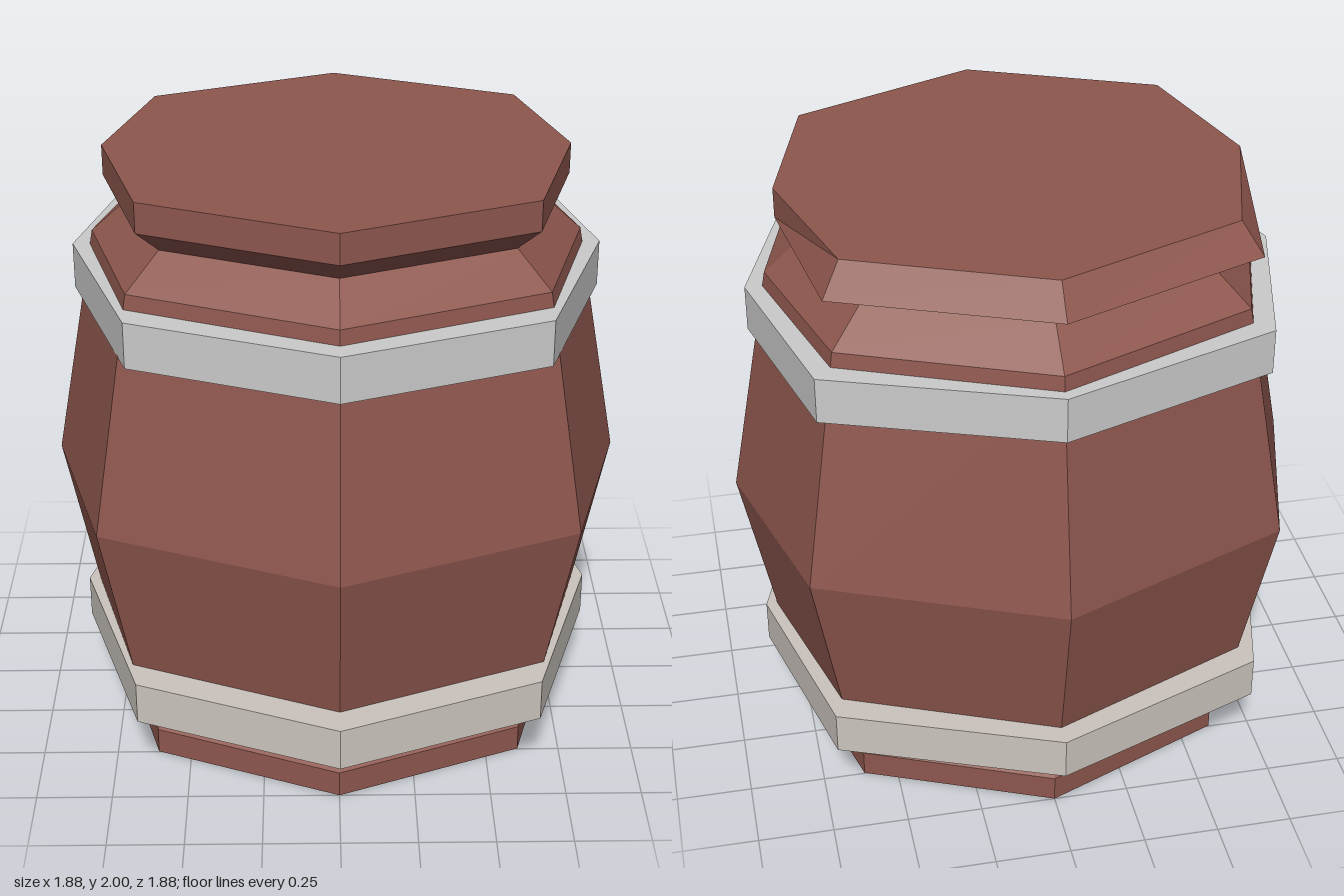
import * as THREE from 'three';

// Eight-cornered ring: x reach at the sides, [x, z] of front corners, front z, then the same for the back.
function ring(y, side, frontCorner, front, backCorner, back) {
  const [fx, fz] = frontCorner, [bx, bz] = backCorner;
  return [[0, front], [fx, fz], [side, 0], [bx, -bz], [0, -back], [-bx, -bz], [-side, 0], [-fx, fz]]
    .map(([x, z]) => new THREE.Vector3(x, y, z));
}

// Ring that is the same at the front and the back
function evenRing(y, r) {
  const corner = [r * 0.815, r * 0.663];
  return ring(y, r, corner, r, corner, r);
}

// Skin a list of rings, skipping triangles that collapse at a zero-radius ring
function skin(name, rings, color) {
  const pos = [];
  const tri = (a, b, c) => {
    if (a.equals(b) || b.equals(c) || a.equals(c)) return;
    pos.push(...a.toArray(), ...b.toArray(), ...c.toArray());
  };
  for (let k = 0; k < rings.length - 1; k++) {
    const lo = rings[k], hi = rings[k + 1];
    for (let i = 0; i < 8; i++) {
      const j = (i + 1) % 8;
      tri(lo[i], lo[j], hi[j]);
      tri(lo[i], hi[j], hi[i]);
    }
  }
  const geometry = new THREE.BufferGeometry();
  geometry.setAttribute('position', new THREE.Float32BufferAttribute(pos, 3));
  geometry.computeVertexNormals();
  const mesh = new THREE.Mesh(geometry, new THREE.MeshStandardMaterial({ color, flatShading: true }));
  mesh.name = name;
  return mesh;
}

// Metal hoop: closed loop of outer and inner rings
function hoop(name, y0, y1, outer, color) {
  const inner = 0.78;
  return skin(name, [
    ring(y0, ...outer), ring(y1, ...outer),
    evenRing(y1, inner), evenRing(y0, inner), ring(y0, ...outer),
  ], color);
}

export function createModel() {
  const group = new THREE.Group();
  group.name = 'barrel';

  // Wooden body with foot, bulge, neck and lid; the lid's back edge juts out
  const body = [[0, 0], [0, 0.75], [0.09, 0.75], [0.125, 0.69], [0.21, 0.797],
    [0.92, 0.94], [1.71, 0.795], [1.82, 0.67]].map(([y, r]) => evenRing(y, r));
  body.push(
    ring(1.9, 0.75, [0.61, 0.51], 0.765, [0.67, 0.55], 0.82),
    ring(2, 0.75, [0.61, 0.51], 0.765, [0.61, 0.49], 0.74),
    evenRing(2, 0),
  );
  group.add(skin('woodenBody', body, 0x8e574e));

  // Hoops, sitting slightly forward
  group.add(hoop('upperHoop', 1.51, 1.662, [0.86, [0.65, 0.63], 0.88, [0.71, 0.59], 0.845], 0xcccccc));
  group.add(hoop('lowerHoop', 0.245, 0.39, [0.872, [0.662, 0.67], 0.938, [0.71, 0.635], 0.907], 0xccc5be));

  return group;
}
